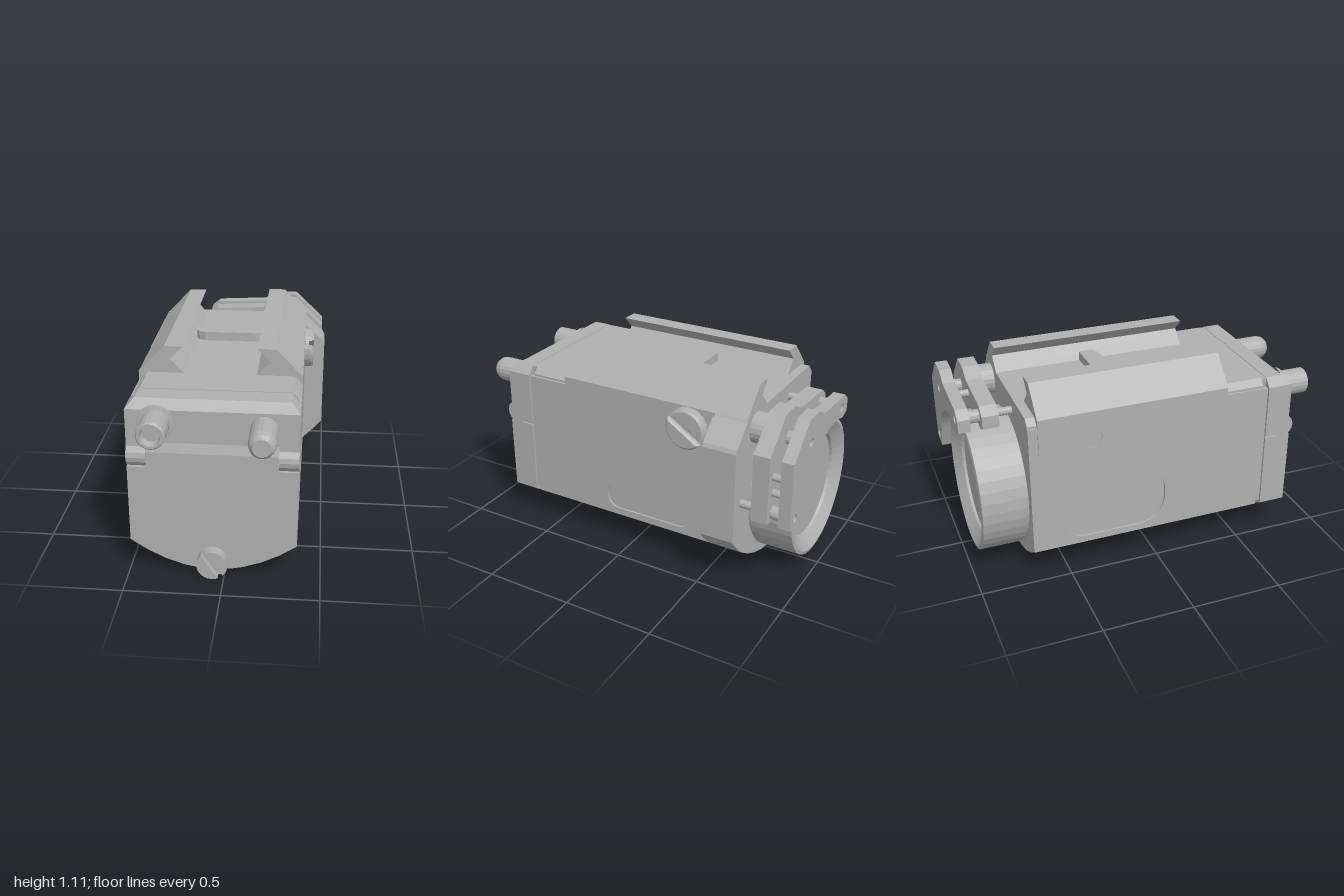
import * as THREE from 'three';

const grey = new THREE.MeshStandardMaterial({ color: 0xb0b0b0, flatShading: true });
grey.name = 'grey metal';

const V = (p) => p.map(([x, y]) => new THREE.Vector2(x, y));
const MID = -0.0575; // the housing's own centre line

// Lofts equal-length counter-clockwise outlines along falling z, with both ends capped
function loft(sections) {
  const pos = [];
  const tri = (...p) => p.forEach((q) => pos.push(...q));
  const rings = sections.map(([z, pts]) => pts.map(([x, y]) => [x, y, z]));
  for (let s = 0; s < rings.length - 1; s++) {
    const A = rings[s], B = rings[s + 1];
    for (let i = 0; i < A.length; i++) {
      const j = (i + 1) % A.length;
      tri(A[i], B[i], B[j]);
      tri(A[i], B[j], A[j]);
    }
  }
  const cap = (k, flip) => {
    const R = rings[k];
    for (const [a, b, c] of THREE.ShapeUtils.triangulateShape(V(sections[k][1]), []))
      flip ? tri(R[a], R[c], R[b]) : tri(R[a], R[b], R[c]);
  };
  cap(0, false);
  cap(rings.length - 1, true);
  const g = new THREE.BufferGeometry();
  g.setAttribute('position', new THREE.Float32BufferAttribute(pos, 3));
  g.computeVertexNormals();
  return g;
}

function extrude(shape, depth, z = 0, opts = {}) {
  return new THREE.ExtrudeGeometry(shape, { depth, bevelEnabled: false, curveSegments: 10, ...opts }).translate(0, 0, z);
}

// Shape drawn in (-z, y), extruded along +x from x
const sideways = (shape, depth, x) => extrude(shape, depth).rotateY(Math.PI / 2).translate(x, 0, 0);

function roundRect(T, x0, y0, x1, y1, r) {
  const s = new T();
  s.absarc(x1 - r, y0 + r, r, -Math.PI / 2, 0);
  s.absarc(x1 - r, y1 - r, r, 0, Math.PI / 2);
  s.absarc(x0 + r, y1 - r, r, Math.PI / 2, Math.PI);
  s.absarc(x0 + r, y0 + r, r, Math.PI, 1.5 * Math.PI);
  return s;
}

const circle = (x, y, r) => new THREE.Path().absarc(x, y, r, 0, Math.PI * 2);

// Cylinder along z between z0 and z1
const rod = (r, x, y, z0, z1, n = 20) =>
  new THREE.CylinderGeometry(r, r, z1 - z0, n).rotateX(Math.PI / 2).translate(x, y, (z0 + z1) / 2);

// Rounded belly, optionally cut flat at a minimum height
const belly = (inset, minY) =>
  [-1, -0.8, -0.58, -0.354, -0.2, 0, 0.2, 0.354, 0.58, 0.8, 1].map((u) => [
    MID + u * (0.4325 - inset), Math.max(0.025 + inset + 0.16 * u * u, minY)]);

export function createModel() {
  const group = new THREE.Group();
  const add = (name, geo, parent = group) => {
    const m = new THREE.Mesh(geo, grey);
    m.name = name;
    parent.add(m);
    return m;
  };

  // Main housing, sides stepped in to carry the side panels
  const housing = (minY, cl, cr) => [
    ...belly(0, minY), [0.363, 0.186], [0.363, 0.965 - cr], [0.363 - cr, 0.965],
    [-0.475 + cl, 0.965], [-0.475, 0.965 - cl], [-0.475, 0.186]];
  const e = 0.001, c = 0.033;
  add('housingFront', loft([[0.62, housing(0, c, c)], [0.4, housing(0, c, c)]]));
  add('housingMiddle', loft([
    [0.4, housing(0, e, e)], [0.35, housing(0, e, e)], [0.23, housing(0.045, e, e)],
    [-0.35, housing(0.045, e, e)], [-0.45, housing(0, e, e)], [-0.65, housing(0, e, e)]]));
  add('housingRear', loft([[-0.65, housing(0, c, e)], [-0.7, housing(0, c, e)]]));

  // Side panels with shallow window recesses
  const right = new THREE.Shape(V([[-0.62, 0.185], [0.52, 0.185], [0.52, 0.965], [-0.4, 0.965], [-0.4, 0.92], [-0.62, 0.92]]));
  right.holes.push(roundRect(THREE.Path, -0.14, 0.225, 0.385, 0.375, 0.07));
  add('rightPanel', sideways(right, 0.012, 0.363));
  const left = new THREE.Shape(V([[-0.62, 0.185], [0.7, 0.185], [0.7, 0.92], [0.65, 0.92], [0.65, 0.965], [-0.4, 0.965], [-0.4, 0.92], [-0.62, 0.92]]));
  left.holes.push(roundRect(THREE.Path, -0.05, 0.22, 0.55, 0.56, 0.15));
  add('leftPanel', sideways(left, 0.013, -0.487));

  // Raised cover flap with a screw hole on the left side
  const flap = new THREE.Shape(V([[-0.01, 0.965], [-0.01, 0.77], [0.03, 0.725], [0.61, 0.725], [0.65, 0.765], [0.65, 0.965]]));
  flap.holes.push(circle(0.37, 0.82, 0.06));
  add('sideFlap', sideways(flap, 0.006, -0.492));

  // Flange widening the rear right edge
  add('rearFlange', extrude(new THREE.Shape(V([
    [0.36, 0.18], [0.375, 0.185], [0.44, 0.25], [0.49, 0.31], [0.49, 0.825], [0.48, 0.845], [0.37, 0.95], [0.36, 0.965]])), 0.19, -0.7));

  // Seam between housing and front cover
  const box = (inset, top) => [...belly(inset, 0), [0.375 - inset, top], [-0.49 + inset, top]];
  add('coverSeam', loft([[0.65, box(0.012, 0.91)], [0.62, box(0.012, 0.91)]]));
  add('seamTop', new THREE.BoxGeometry(0.78, 0.06, 0.03).translate(MID, 0.932, 0.635));

  // Door below, chamfered block above, thin gap between
  add('frontDoor', loft([[0.8, box(0, 0.61)], [0.65, box(0, 0.61)]]));
  add('doorGap', new THREE.BoxGeometry(0.845, 0.03, 0.13).translate(MID, 0.615, 0.715));
  const block = (y, k) => [[-0.49, 0.625], [0.375, 0.625], [0.375, 0.92 - e], [0.375 - k, y], [-0.49 + k, y], [-0.49, 0.92 - e]];
  add('upperBlock', loft([[0.79, block(0.92, 0.002)], [0.745, block(0.965, 0.043)], [0.65, block(0.965, 0.043)]]));
  add('doorLip', sideways(new THREE.Shape(V([[-0.805, 0.605], [-0.78, 0.605], [-0.78, 0.745], [-0.79, 0.745], [-0.805, 0.695]])), 0.665, -0.39));
  for (const x of [-0.44, 0.325])
    add('doorHinge', new THREE.CylinderGeometry(0.066, 0.066, 0.1, 16).rotateZ(Math.PI / 2).translate(x, 0.668, 0.752));

  // Dovetail mounting rails
  for (const s of [-1, 1]) {
    const p = [[0.4325, 0.964], [0.2925, 1.11], [0.195, 1.11], [0.2625, 1.04], [0.1925, 0.964]].map(([x, y]) => [MID + s * x, y]);
    const z = s < 0 ? -0.65 : -0.7;
    add(s < 0 ? 'leftRail' : 'rightRail', extrude(new THREE.Shape(V(p)), 0.4 - z, z));
  }

  // Recoil bar between the rails
  const bar = new THREE.Shape(V([[-0.25, 0.22], [-0.25, 0.165], [-0.235, 0.135], [-0.2, 0.12], [0.09, 0.12], [0.125, 0.135], [0.14, 0.165], [0.14, 0.22]]));
  add('recoilBar', extrude(bar, 0.052).rotateX(-Math.PI / 2).translate(0, 0.963, 0));

  // Front socket (hollow) and rounded push button
  const lathe = (pts, n) => new THREE.LatheGeometry(V(pts), n).rotateX(Math.PI / 2);
  add('frontSocket', lathe([[0.094, 0], [0.094, 0.015], [0.072, 0.02], [0.072, 0.165], [0.065, 0.172], [0.052, 0.172], [0.045, 0.13], [0, 0.13]], 20).translate(-0.337, 0.852, 0.78));
  add('pushButton', lathe([[0.07, 0], [0.07, 0.165], [0.063, 0.195], [0.046, 0.215], [0, 0.215]], 20).translate(0.2, 0.835, 0.785));

  // Slotted screw heads, facing +z before being placed
  const slotted = (name, r, h, w, angle, bevel) => {
    const g = new THREE.Group();
    g.name = name;
    const turn = new THREE.Group();
    turn.rotation.z = angle;
    g.add(turn);
    add('screwBase', rod(r, 0, 0, 0, h * 0.5), turn);
    const a = Math.asin(w / 2 / (r - bevel));
    const half = new THREE.Shape().absarc(0, 0, r - bevel, a, Math.PI - a);
    for (const k of [0, Math.PI])
      add('screwHalf', extrude(half, h * 0.5 - bevel, h * 0.5, {
        bevelEnabled: bevel > 0, bevelSize: bevel, bevelThickness: bevel, bevelSegments: 1 }).rotateZ(k), turn);
    group.add(g);
    return g;
  };
  slotted('doorScrew', 0.08, 0.065, 0.032, -0.98, 0).position.set(-0.06, 0.082, 0.795);
  const knob = slotted('sideScrew', 0.113, 0.055, 0.045, -0.58, 0.012);
  knob.rotation.y = Math.PI / 2;
  knob.position.set(0.37, 0.85, -0.37);

  // Lens barrel with a sloping rim and recessed glass
  const lens = (name, pts) => add(name, new THREE.LatheGeometry(V(pts), 40).rotateX(-Math.PI / 2).translate(-0.06, 0.445, -0.695));
  lens('lensBarrel', [[0.37, 0], [0.37, 0.02], [0.385, 0.02], [0.385, 0.255], [0.365, 0.26], [0.295, 0.215], [0.29, 0.2]]);
  lens('lensGlass', [[0.29, 0.2], [0, 0.2]]);

  // Two bracket plates arching over the lens
  const plate = () => {
    const s = new THREE.Shape(V([[0.36, 0.455], [0.475, 0.47], [0.475, 0.845], [0.3, 1.01], [0.18, 1.01],
      [0.1, 0.965], [-0.2, 0.95], [-0.25, 0.91], [-0.25, 0.84], [-0.2, 0.82]]));
    s.absarc(-0.06, 0.445, 0.395, 1.9, 0.34, true);
    s.closePath();
    return s;
  };
  const pins = [[0.26, 0.87], [-0.17, 0.885], [0.41, 0.51]];
  for (const [name, z, d] of [['innerPlate', -0.875, 0.09], ['outerPlate', -1, 0.065]]) {
    const s = plate();
    if (name === 'outerPlate') for (const [x, y] of pins) s.holes.push(circle(x, y, 0.024));
    add(name, extrude(s, d, z));
  }

  // Spacers and posts that carry the bracket
  for (const [x, y] of pins) {
    add('spacer', rod(0.035, x, y, -0.945, -0.87, 12));
    add('pin', rod(0.022, x, y, -0.79, -0.69, 12));
  }
  add('bracketPost', rod(0.083, 0.26, 0.885, -0.79, -0.69));
  for (const [x, y] of [[0.42, 0.63], [0.42, 0.72], [0.06, 0.91]]) add('spacer', rod(0.02, x, y, -0.945, -0.87, 12));

  return group;
}
